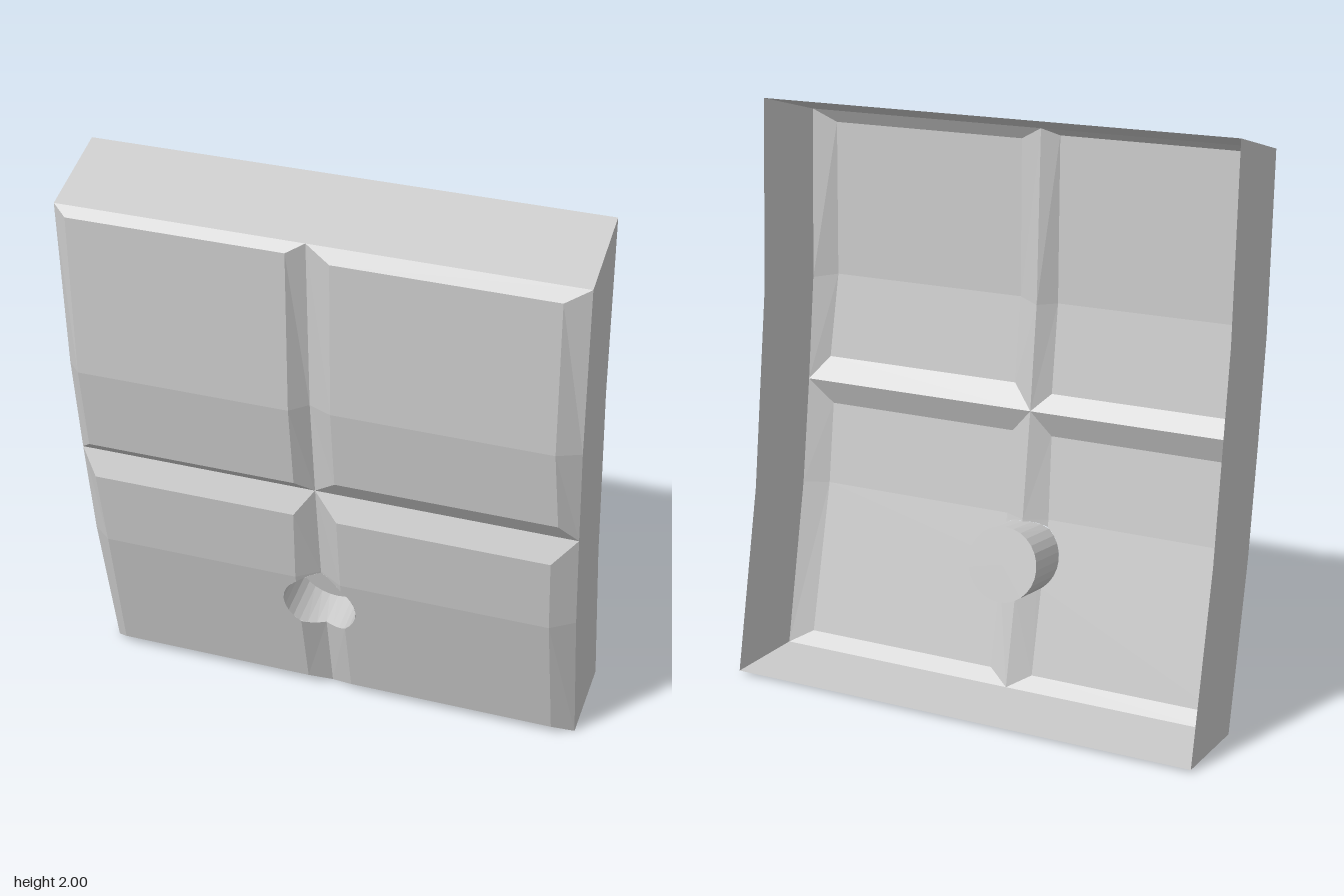
import * as THREE from 'three';

const SEAM = -0.03; // x of the vertical groove
const HALF = 0.86;
const HOLE = { y: 0.445, r: 0.13, ry: 0.128, steps: 14 };

// Profiles as [y, z]: groove line of the skin, and back edge of the walls
const groove = [[1.92, 0.27], [1.32, 0.245], [0.955, 0.2], [0.58, 0.145], [0, 0.02]];
const back = [[2, -0.04], [1.35, -0.07], [0.65, -0.165], [0.01, -0.305]];

const material = new THREE.MeshStandardMaterial({
  color: 0xcccccc, flatShading: true, side: THREE.DoubleSide,
});

const lerp = THREE.MathUtils.lerp;
const along = (p, q, y) => lerp(p[1], q[1], (y - p[0]) / (q[0] - p[0]));

// Triangulate a polygon of [x, y, z] corners, seen along +z, facing forward
function facet(out, points) {
  const flat = points.map(p => new THREE.Vector2(p[0], p[1]));
  if (THREE.ShapeUtils.isClockWise(flat)) {
    flat.reverse();
    points = [...points].reverse();
  }
  for (const tri of THREE.ShapeUtils.triangulateShape(flat, []))
    for (const i of tri) out.push(...points[i]);
}

function quad(out, a, b, c, d) {
  out.push(...a, ...b, ...c, ...a, ...c, ...d);
}

function meshFrom(name, positions) {
  const geometry = new THREE.BufferGeometry();
  geometry.setAttribute('position', new THREE.Float32BufferAttribute(positions, 3));
  geometry.computeVertexNormals();
  const mesh = new THREE.Mesh(geometry, material);
  mesh.name = name;
  return mesh;
}

// Points of the hole edge on one side of the groove, t from 0 (top) to PI (bottom)
function holeArc(side, width, seamRow, raisedRow, t0, t1, steps) {
  const pts = [];
  for (let i = 0; i <= steps; i++) {
    const t = lerp(t0, t1, i / steps);
    const dx = HOLE.r * Math.sin(t), y = HOLE.y + HOLE.ry * Math.cos(t);
    const z = lerp(along(...seamRow, y), along(...raisedRow, y), Math.min(1, dx / width));
    pts.push([SEAM + side * dx, y, z]);
  }
  return pts;
}

// One raised panel: rim rows on the groove level, inner rows lifted, bevels between
function panel({ name, side, rim, inner, outerX, centreX, hole }) {
  const out = [];
  const rimOuter = rim.map(([y, z]) => [side * HALF, y, z]);
  const rimCentre = rim.map(([y, z]) => [SEAM, y, z]);
  const inOuter = inner.map(([y, z], i) => [outerX[i], y, z]);
  const inCentre = inner.map(([y, z], i) => [centreX[i], y, z]);

  for (const i of [0, 2]) // top and bottom bevels
    facet(out, [rimOuter[i], rimCentre[i], inCentre[i], inOuter[i]]);

  for (const i of [0, 1]) {
    facet(out, [rimOuter[i], rimOuter[i + 1], inOuter[i + 1], inOuter[i]]);
    if (hole && i === 1) {
      // face and groove bevel with the round hole cut out
      const width = Math.abs(centreX[1] - SEAM);
      const rows = [[rim[1], rim[2]], [inner[1], inner[2]]];
      const t = Math.asin(width / HOLE.r);
      const arc = (a, b, n) => holeArc(side, width, ...rows, a, b, n);
      facet(out, [inOuter[1], inCentre[1], ...arc(t, Math.PI - t, 10), inCentre[2], inOuter[2]]);
      facet(out, [inCentre[1], rimCentre[1], ...arc(0, t, 5)]);
      facet(out, [rimCentre[2], inCentre[2], ...arc(Math.PI - t, Math.PI, 5)]);
    } else {
      facet(out, [rimCentre[i], rimCentre[i + 1], inCentre[i + 1], inCentre[i]]);
      facet(out, [inOuter[i], inOuter[i + 1], inCentre[i + 1], inCentre[i]]);
    }
  }
  return meshFrom(name, out);
}

// Blind round socket sunk through the skin, tilted with the lower slope
function socket(lower) {
  const group = new THREE.Group();
  group.name = 'socket';
  const wall = [], cap = [];
  const centre = [SEAM, HOLE.y + 0.02, -0.01];
  const floorPoint = p => [p[0], p[1] + 0.02, centre[2] + 0.22 * (p[1] - HOLE.y)];
  for (const { side, rim, inner, centreX } of lower) {
    const width = Math.abs(centreX[1] - SEAM);
    const arc = holeArc(side, width, rim.slice(1), inner.slice(1), 0, Math.PI, HOLE.steps);
    for (let i = 0; i < HOLE.steps; i++) {
      const [a, b] = side > 0 ? [arc[i], arc[i + 1]] : [arc[i + 1], arc[i]];
      const fa = floorPoint(a), fb = floorPoint(b);
      quad(wall, a, b, fb, fa);
      cap.push(...centre, ...fb, ...fa);
    }
  }
  group.add(meshFrom('socketWall', wall), meshFrom('socketFloor', cap));
  return group;
}

// Side walls and top and bottom walls, open at the back
function walls() {
  const group = new THREE.Group();
  group.name = 'walls';
  const outline = [...groove, ...[...back].reverse()];
  const shape = new THREE.Shape(outline.map(([y, z]) => new THREE.Vector2(-z, y)));
  for (const side of [1, -1]) {
    const geometry = new THREE.ShapeGeometry(shape);
    geometry.rotateY(Math.PI / 2);
    const mesh = new THREE.Mesh(geometry, material);
    mesh.name = side > 0 ? 'leftWall' : 'rightWall';
    mesh.position.x = side * HALF;
    group.add(mesh);
  }
  const strip = (name, [y0, z0], [y1, z1]) => {
    const out = [];
    quad(out, [-HALF, y0, z0], [HALF, y0, z0], [HALF, y1, z1], [-HALF, y1, z1]);
    group.add(meshFrom(name, out));
  };
  strip('topWall', groove[0], back[0]);
  strip('bottomWall', back[3], groove[4]);
  return group;
}

export function createModel() {
  const model = new THREE.Group();
  model.name = 'panelledTile';
  const upperRim = groove.slice(0, 3), lowerRim = groove.slice(2);

  const upper = [
    { name: 'upperRightPanel', side: -1, rim: upperRim,
      inner: [[1.895, 0.305], [1.32, 0.298], [1.01, 0.255]],
      outerX: [-0.81, -0.81, -0.81], centreX: [-0.085, -0.085, -0.085] },
    { name: 'upperLeftPanel', side: 1, rim: upperRim,
      inner: [[1.875, 0.298], [1.33, 0.294], [1.033, 0.253]],
      outerX: [0.78, 0.785, 0.8], centreX: [0.055, 0.055, 0.055] },
  ];
  const lowerInner = [[0.865, 0.235], [0.575, 0.195], [0.04, 0.07]];
  const lower = [
    { name: 'lowerRightPanel', side: -1, rim: lowerRim, inner: lowerInner, hole: true,
      outerX: [-0.805, -0.795, -0.81], centreX: [-0.095, -0.105, -0.105] },
    { name: 'lowerLeftPanel', side: 1, rim: lowerRim, inner: lowerInner, hole: true,
      outerX: [0.78, 0.78, 0.785], centreX: [0.055, 0.055, 0.055] },
  ];

  for (const p of [...upper, ...lower]) model.add(panel(p));
  model.add(socket(lower), walls());
  return model;
}
